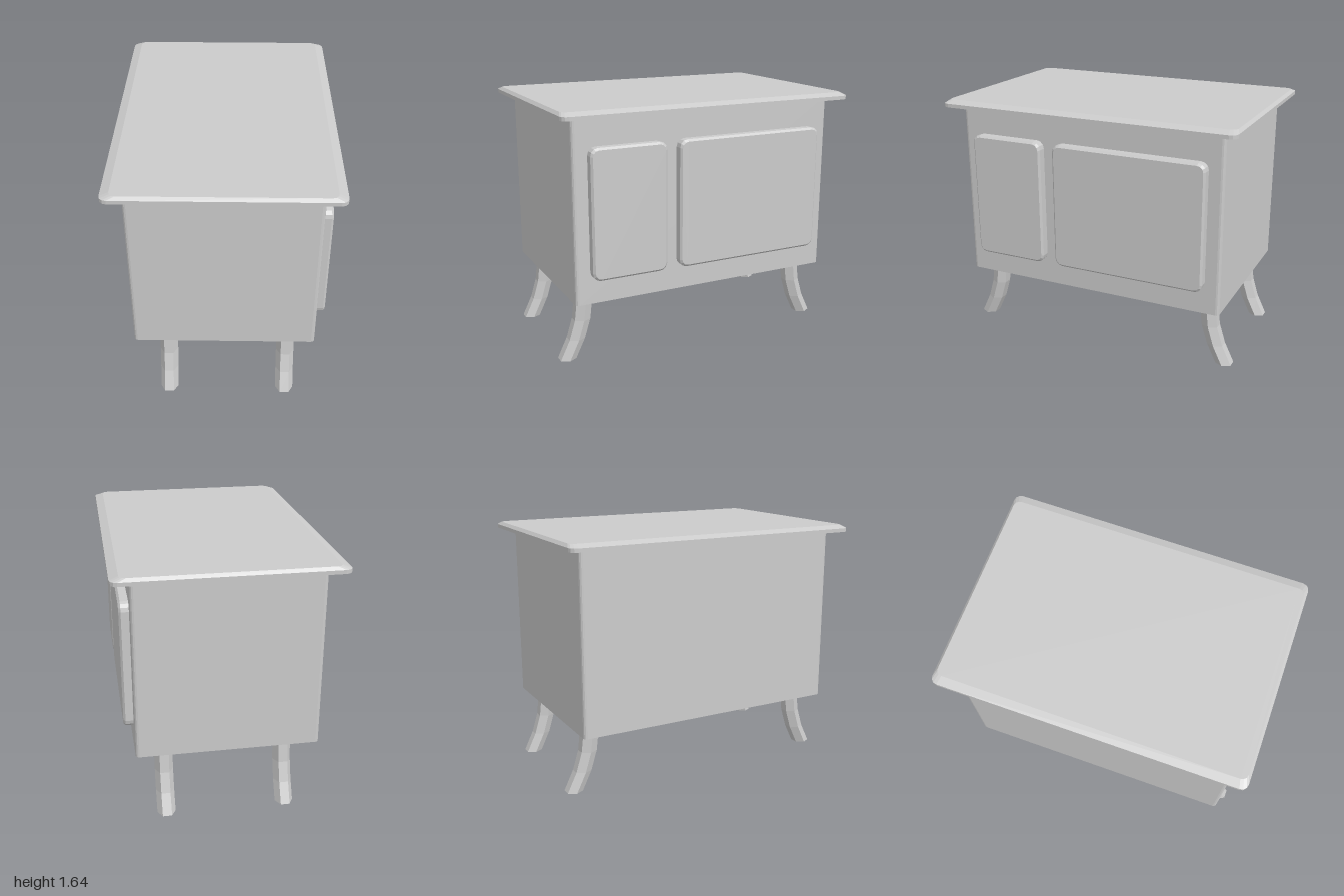
import * as THREE from 'three';

const material = new THREE.MeshStandardMaterial({ color: 0xcccccc, flatShading: true });
const openMaterial = new THREE.MeshStandardMaterial({ color: 0xcccccc, flatShading: true, side: THREE.DoubleSide });

// Rounded rectangle ring lying at height y
function roundedRing(halfX, halfZ, radius, y, segments = 3) {
  const ring = [];
  const corners = [[1, 1], [-1, 1], [-1, -1], [1, -1]];
  corners.forEach(([sx, sz], c) => {
    for (let i = 0; i <= segments; i++) {
      const a = (c + i / segments) * Math.PI / 2;
      ring.push(new THREE.Vector3(
        sx * (halfX - radius) + Math.cos(a) * radius, y,
        sz * (halfZ - radius) + Math.sin(a) * radius));
    }
  });
  return ring;
}

// Skin a stack of rings, bottom to top, with optional flat caps
function loft(rings, capped = true) {
  const n = rings[0].length;
  const index = [];
  rings.slice(1).forEach((_, r) => {
    for (let i = 0; i < n; i++) {
      const a = r * n + i, b = r * n + (i + 1) % n;
      index.push(a, a + n, b, b, a + n, b + n);
    }
  });
  if (capped) {
    const top = (rings.length - 1) * n;
    for (let i = 1; i < n - 1; i++) {
      index.push(0, i, i + 1, top, top + i + 1, top + i);
    }
  }
  const geometry = new THREE.BufferGeometry().setFromPoints(rings.flat());
  geometry.setIndex(index);
  const flat = geometry.toNonIndexed();
  flat.computeVertexNormals();
  return flat;
}

function addMesh(group, name, geometry, mat = material) {
  const mesh = new THREE.Mesh(geometry, mat);
  mesh.name = name;
  group.add(mesh);
  return mesh;
}

// Door panel standing on the +x side, bevelled on its outer face
function addDoor(group, name, z0, z1) {
  const y0 = 0.585, y1 = 1.413, hy = (y1 - y0) / 2, hz = (z1 - z0) / 2;
  const door = addMesh(group, name, loft([
    roundedRing(hy, hz, 0.05, 0),
    roundedRing(hy, hz, 0.05, 0.057),
    roundedRing(hy - 0.013, hz - 0.013, 0.04, 0.07),
  ]));
  door.rotation.z = -Math.PI / 2;
  door.position.set(0.578, (y0 + y1) / 2, (z0 + z1) / 2);
}

// Hollow six-sided leg that sweeps outwards at the foot
function legGeometry(x, side) {
  const path = [[0, 0.92], [0.13, 0.857], [0.26, 0.817], [0.43, 0.797]];
  return loft(path.map(([y, z]) => {
    const centreZ = side > 0 ? z : 0.0185 - z;
    return Array.from({ length: 6 }, (_, i) => {
      const a = i * Math.PI / 3;
      return new THREE.Vector3(x + 0.059 * Math.cos(a), y, centreZ + 0.0605 * Math.sin(a));
    });
  }), false);
}

export function createModel() {
  const model = new THREE.Group();
  model.name = 'stove';

  // Main box
  const body = addMesh(model, 'body', loft([
    roundedRing(0.586, 0.907, 0.022, 0.425),
    roundedRing(0.586, 0.907, 0.022, 1.6),
  ]));
  body.position.z = 0.003;

  // Overhanging top with a shallow bevel, wider along x
  addMesh(model, 'topPlate', loft([
    roundedRing(0.7, 1, 0.045, 1.594),
    roundedRing(0.7, 1, 0.045, 1.618),
    roundedRing(0.645, 0.982, 0.04, 1.637),
  ]));

  // Two doors on the side
  addDoor(model, 'smallDoor', 0.31, 0.813);
  addDoor(model, 'largeDoor', -0.807, 0.222);

  // Four legs
  for (const x of [-0.371, 0.404]) {
    for (const side of [1, -1]) {
      addMesh(model, side > 0 ? 'frontLeg' : 'backLeg', legGeometry(x, side), openMaterial);
    }
  }
  return model;
}
